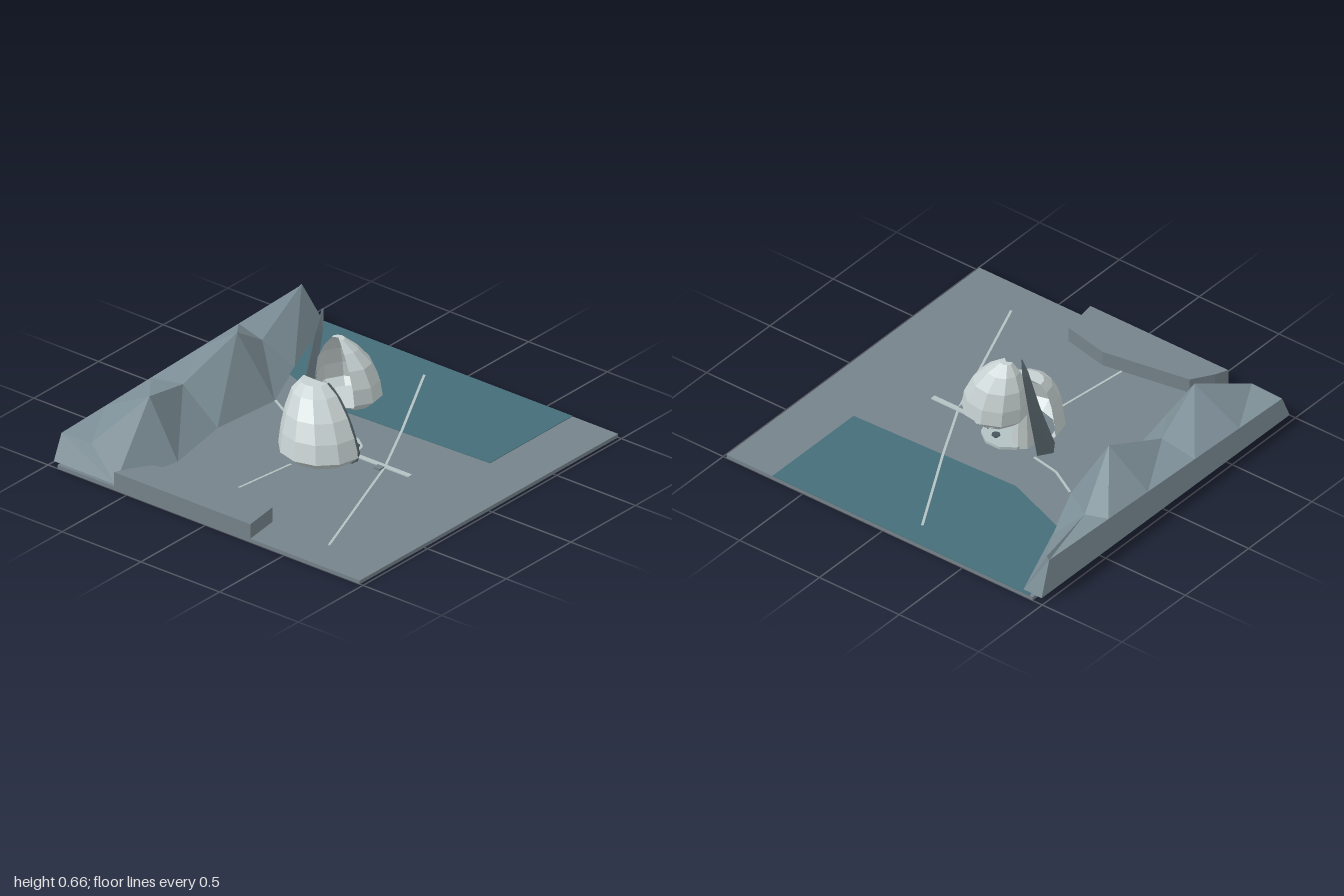
import * as THREE from 'three';

const mat = (name, color, side = THREE.FrontSide) => {
  const m = new THREE.MeshStandardMaterial({ color, flatShading: true, side });
  m.name = name;
  return m;
};

export function createModel() {
  const model = new THREE.Group();
  const M = {
    ground: mat('ground slate', 0x75838a),
    rock: mat('rock grey', 0x7e9098),
    water: mat('water teal', 0x456e79),
    shell: mat('pale shell', 0xc6d0d0, THREE.DoubleSide),
    path: mat('pale path', 0xb4c2c3),
    spire: mat('spire slate', 0x5c6b72),
    trim: mat('dark trim', 0x4a575c),
  };
  const add = (name, geo, material, x = 0, y = 0, z = 0) => {
    const mesh = new THREE.Mesh(geo, material);
    mesh.name = name;
    mesh.position.set(x, y, z);
    model.add(mesh);
    return mesh;
  };

  // Flat polygon in x,z raised by a height
  const slab = (pts, h) => {
    const s = new THREE.Shape(pts.map(([x, z]) => new THREE.Vector2(x, -z)));
    return new THREE.ExtrudeGeometry(s, { depth: h, bevelEnabled: false }).rotateX(-Math.PI / 2);
  };

  // Closed solid through a row of equal-length cross-sections
  const loft = (rings) => {
    const n = rings[0].length, pos = [];
    const tri = (...p) => p.forEach((v) => pos.push(...v));
    for (let i = 0; i < rings.length - 1; i++) {
      for (let j = 0; j < n; j++) {
        const k = (j + 1) % n, A = rings[i], B = rings[i + 1];
        tri(A[j], B[j], B[k]);
        tri(A[j], B[k], A[k]);
      }
    }
    const first = rings[0], last = rings[rings.length - 1];
    for (let j = 1; j < n - 1; j++) {
      tri(first[0], first[j], first[j + 1]);
      tri(last[0], last[j + 1], last[j]);
    }
    const g = new THREE.BufferGeometry();
    g.setAttribute('position', new THREE.Float32BufferAttribute(pos, 3));
    g.computeVertexNormals();
    return g;
  };

  // Ground, water and side plateau
  add('ground', new THREE.BoxGeometry(2, 0.02, 1.92), M.ground, 0, 0.01, 0.02);
  add('water', slab([[0.5, -0.78], [0.46, -0.66], [0.325, -0.3], [0.36, 0.69], [1, 0.69], [1, -0.92]], 0.003),
    M.water, 0, 0.02, 0);
  add('plateau', slab([[-1, -0.58], [-0.93, -0.55], [-0.82, -0.48], [-0.735, 0], [-0.79, 0.255], [-1, 0.285]], 0.08),
    M.ground, 0, 0.02, 0);

  // Rear ridge: foot x, foot z, crest x, y, z
  const ridge = [
    [-0.98, -0.59, -0.92, 0.16, -0.79],
    [-0.6, -0.505, -0.58, 0.31, -0.7],
    [-0.2, -0.58, -0.23, 0.21, -0.775],
    [0.2, -0.545, 0.14, 0.36, -0.735],
    [0.53, -0.69, 0.45, 0.16, -0.83],
    [0.98, -0.865, 0.92, 0.235, -0.965],
  ].map(([fx, fz, cx, cy, cz]) => [
    [fx, 0.02, fz], [cx, cy, cz],
    [cx, 0.185 + cx * 0.035, -0.98], [fx, 0.02, -0.98],
  ]);
  add('ridge', loft(ridge), M.rock);

  // Narrow paths along the ground
  const strip = (name, pts, w, y) => {
    for (let i = 0; i < pts.length - 1; i++) {
      const [x1, z1] = pts[i], [x2, z2] = pts[i + 1];
      const m = add(name, new THREE.BoxGeometry(Math.hypot(x2 - x1, z2 - z1), 0.005, w), M.path,
        (x1 + x2) / 2, y, (z1 + z2) / 2);
      m.rotation.y = -Math.atan2(z2 - z1, x2 - x1);
    }
  };
  strip('longPath', [[-0.81, 0.63], [0, 0.32], [0.35, 0.14], [0.87, -0.145]], 0.013, 0.0225);
  strip('sidePath', [[-0.75, -0.11], [-0.27, -0.055]], 0.012, 0.0225);
  strip('ridgePath', [[0.2, -0.54], [0.11, -0.38], [0.08, -0.22]], 0.012, 0.0225);
  strip('entryPath', [[0, 0.1], [0, 0.48]], 0.03, 0.026);
  add('doorstep', new THREE.BoxGeometry(0.035, 0.012, 0.04), M.ground, -0.03, 0.026, 0.305);

  // Faceted shells, open on one side, whose upper rings drift sideways
  const pod = (profile, segs, start, length, driftX, driftZ, scaleZ) => {
    const g = new THREE.LatheGeometry(profile.map((p) => new THREE.Vector2(...p)), segs, start, length);
    const p = g.attributes.position, y0 = profile[0][1], y1 = profile[profile.length - 1][1];
    for (let i = 0; i < p.count; i++) {
      const t = ((p.getY(i) - y0) / (y1 - y0)) ** 2;
      p.setX(i, p.getX(i) + driftX * t);
      p.setZ(i, p.getZ(i) * scaleZ + driftZ * t);
    }
    g.computeVertexNormals();
    return g;
  };
  const deg = Math.PI / 180;
  const lower = [[0.17, 0.02], [0.222, 0.065], [0.205, 0.16], [0.175, 0.25], [0.125, 0.34], [0.075, 0.38], [0, 0.38]];
  add('lowerShell', pod(lower, 6, 178 * deg, 184 * deg, 0.05, -0.09, 1), M.shell, -0.08, 0, -0.01);
  const upper = [[0.105, 0.22], [0.155, 0.27], [0.15, 0.35], [0.125, 0.44], [0.08, 0.51], [0.03, 0.56], [0, 0.56]];
  add('upperShell', pod(upper, 7, 315 * deg, 253 * deg, -0.025, -0.05, 1.12), M.shell, 0.145, 0, -0.025);
  add('upperFloor', new THREE.CylinderGeometry(0.125, 0.105, 0.015, 9), M.shell, 0.145, 0.23, -0.025);

  // Dark rib along the open front edge of the lower shell
  const rib = new THREE.CatmullRomCurve3(lower.slice(0, 6).map(([r, y]) => {
    const t = ((y - 0.02) / 0.36) ** 2;
    return new THREE.Vector3(-0.07 + 0.05 * t, y, r - 0.01 - 0.09 * t);
  }));
  add('shellRib', new THREE.TubeGeometry(rib, 10, 0.006, 5), M.trim);

  // Leaning spire behind the shells
  const spire = [
    [0.02, -0.08, 0.06, -0.27, -0.175],
    [0.3, 0.03, 0.115, -0.25, -0.18],
    [0.55, 0.115, 0.163, -0.235, -0.19],
    [0.657, 0.163, 0.167, -0.215, -0.205],
  ].map(([y, x0, x1, z0, z1]) => {
    const xc = (x0 + x1) / 2, zc = (z0 + z1) / 2;
    return [[x1, y, zc], [xc, y, z1], [x0, y, zc], [xc, y, z0]];
  });
  add('spire', loft(spire), M.spire);

  // Ground floor, supporting column, stair and furniture
  add('floor', new THREE.CylinderGeometry(0.14, 0.14, 0.015, 10), M.path, 0.0, 0.028, 0.0);
  add('column', new THREE.CylinderGeometry(0.045, 0.055, 0.3, 7), M.shell, 0.02, 0.17, -0.1);
  add('shelf', new THREE.BoxGeometry(0.05, 0.012, 0.06), M.trim, -0.02, 0.23, -0.03);
  const rail = new THREE.QuadraticBezierCurve3(
    new THREE.Vector3(-0.06, 0.06, 0.1), new THREE.Vector3(-0.06, 0.08, 0),
    new THREE.Vector3(-0.02, 0.15, -0.06));
  add('stairRail', new THREE.TubeGeometry(rail, 8, 0.005, 5), M.trim);
  for (const [x, z] of [[0.08, 0.02], [0.04, 0.1], [-0.03, 0.07]]) {
    add('stoolTop', new THREE.CylinderGeometry(0.022, 0.022, 0.006, 7), M.trim, x, 0.053, z);
    add('stoolLeg', new THREE.CylinderGeometry(0.006, 0.009, 0.02, 5), M.trim, x, 0.043, z);
  }
  return model;
}
